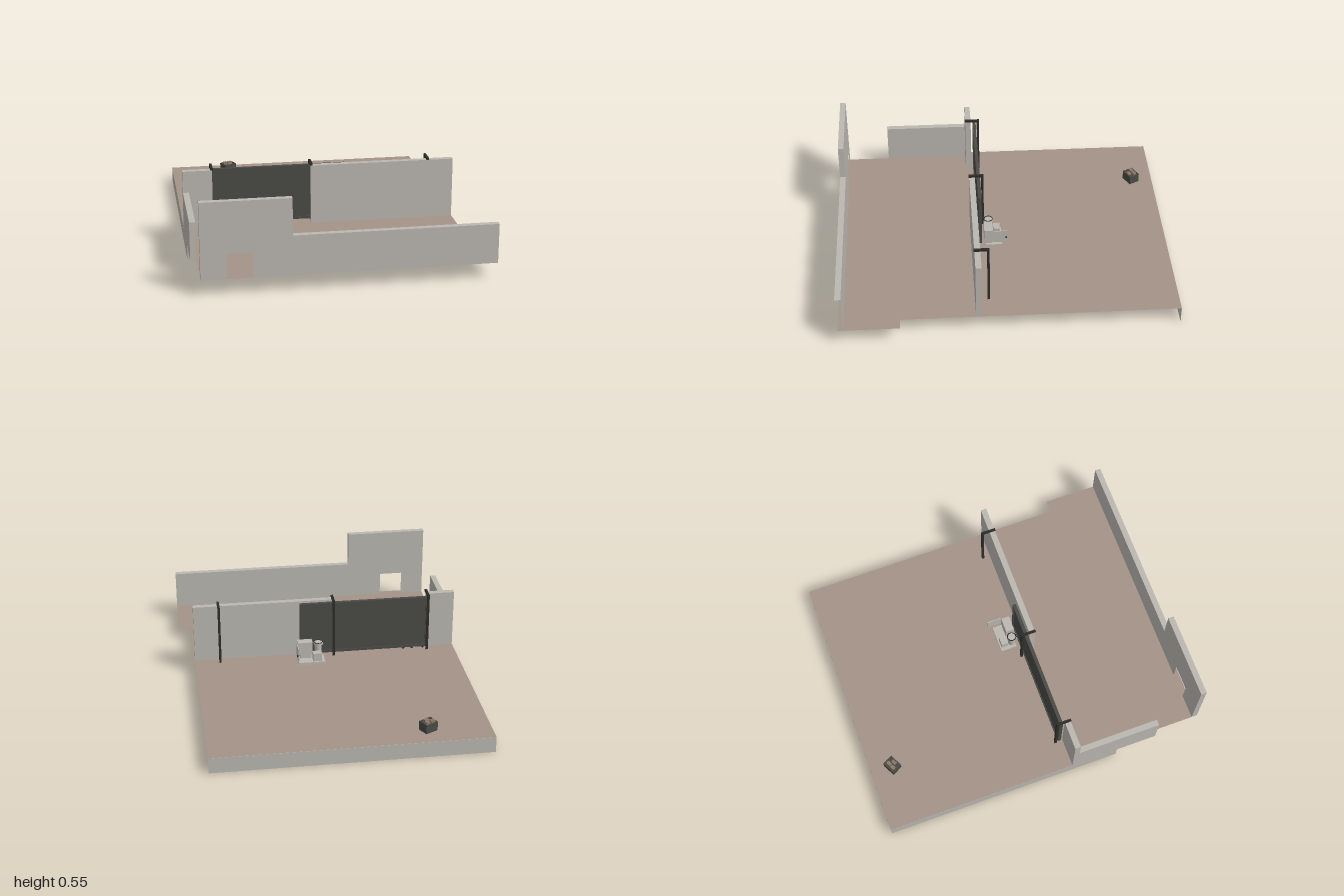
import * as THREE from 'three';

const mat = (name, color, side = THREE.FrontSide) => {
  const m = new THREE.MeshStandardMaterial({ color, side });
  m.name = name;
  return m;
};

export function createModel() {
  const concrete = mat('pale concrete', 0xbbb8b2);
  const ground = mat('brown ground', 0xa49388, THREE.DoubleSide);
  const steel = mat('dark gate steel', 0x4a4b46);
  const iron = mat('black iron', 0x2c2d29);
  const rust = mat('brown cargo', 0x8d7768);
  const root = new THREE.Group();
  const F = 0.097; // ground level

  const add = (name, geo, material, parent = root) => {
    const m = new THREE.Mesh(geo, material);
    m.name = name;
    parent.add(m);
    return m;
  };

  // Box given by its limits; skip lists faces to leave open (0 = +x, 1 = -x)
  const box = (name, material, [x0, x1], [y0, y1], [z0, z1], parent = root, skip = []) => {
    const g = new THREE.BoxGeometry(x1 - x0, y1 - y0, z1 - z0);
    g.translate((x0 + x1) / 2, (y0 + y1) / 2, (z0 + z1) / 2);
    if (skip.length) {
      g.setIndex([...g.index.array].filter((_, i) => !skip.includes(Math.floor(i / 6))));
      g.clearGroups();
    }
    return add(name, g, material, parent);
  };

  // Ground sheet with stepped outline (shape y becomes -z)
  const outline = [[-0.855, -1], [0.78, -1], [0.78, 0.64], [0.853, 0.64], [0.853, 0.998],
    [-0.82, 0.998], [-0.82, 0.455], [-0.855, 0.455]];
  const floor = new THREE.ShapeGeometry(new THREE.Shape(outline.map(([x, z]) => new THREE.Vector2(x, -z))));
  floor.rotateX(-Math.PI / 2).translate(0, F, 0);
  add('ground', floor, ground);

  // Thin retaining edges at the back and on one side
  box('backEdge', concrete, [-0.855, 0.78], [0, F - 0.001], [-1, -0.998]);
  box('sideEdge', concrete, [-0.855, -0.853], [0, F - 0.001], [-1, 0.455]);

  // Front wall with a raised section, a low hatch opening and an open end
  const front = new THREE.Group();
  front.name = 'frontWall';
  root.add(front);
  const zf = [0.965, 1];
  box('wallEnd', concrete, [-0.82, -0.675], [F, 0.33], zf, front, [0]);
  box('hatchLintel', concrete, [-0.675, -0.53], [0.245, 0.33], zf, front, [0, 1]);
  box('lowWall', concrete, [-0.53, 0.853], [F, 0.33], zf, front, [0, 1]);
  box('raisedWall', concrete, [-0.82, -0.31], [0.33, 0.547], zf, front);

  // Side wall and the two wall pieces beside the gateway
  box('sideWall', concrete, [-0.855, -0.82], [F, 0.33], [0.2, 0.708]);
  box('gateWallShort', concrete, [-0.855, -0.68], [F, 0.461], [0.165, 0.2]);
  box('gateWallLong', concrete, [-0.088, 0.78], [F, 0.461], [0.165, 0.2]);

  // Sliding gate: sheet, frame rails and rollers
  const gate = new THREE.Group();
  gate.name = 'slidingGate';
  root.add(gate);
  box('gateSheet', steel, [-0.68, 0.12], [0.115, 0.45], [0.139, 0.149], gate);
  for (const y of [0.11, 0.438]) box('gateRail', steel, [-0.685, 0.123], [y, y + 0.015], [0.133, 0.154], gate);
  for (const x of [-0.685, 0.109]) box('gateStile', steel, [x, x + 0.014], [0.11, 0.453], [0.133, 0.154], gate);
  for (const x of [-0.66, -0.59, -0.535, 0.09]) {
    const g = new THREE.CylinderGeometry(0.008, 0.008, 0.008, 12).rotateX(Math.PI / 2);
    add('gateRoller', g.translate(x, F + 0.008, 0.144), iron, gate);
  }

  // Guide posts with arms reaching over the gate to the wall
  for (const x of [-0.682, -0.086, 0.625]) {
    box('guidePost', iron, [x - 0.007, x + 0.007], [F, 0.475], [0.112, 0.126]);
    box('guideArm', iron, [x - 0.007, x + 0.007], [0.461, 0.475], [0.126, 0.203]);
  }

  // Gate motor with base plate, drive wheel and open cover door
  const motor = new THREE.Group();
  motor.name = 'gateMotor';
  root.add(motor);
  box('basePlate', concrete, [-0.02, 0.145], [F, 0.113], [0.01, 0.11], motor);
  box('motorFoot', concrete, [0.06, 0.13], [0.113, 0.142], [0.07, 0.11], motor);
  box('motorCase', concrete, [0.053, 0.145], [0.14, 0.22], [0.068, 0.12], motor);
  box('controlBox', concrete, [0.0, 0.055], [0.113, 0.165], [0.02, 0.06], motor);
  box('coverDoor', concrete, [0.148, 0.153], [0.137, 0.22], [-0.022, 0.068], motor);
  box('doorHandle', iron, [0.153, 0.16], [0.17, 0.182], [-0.016, -0.01], motor);
  add('driveColumn', new THREE.CylinderGeometry(0.022, 0.022, 0.087, 20).translate(0.015, 0.157, 0.09), concrete, motor);
  add('driveWheel', new THREE.CylinderGeometry(0.03, 0.03, 0.014, 20).translate(0.015, 0.205, 0.09), concrete, motor);
  add('wheelRim', new THREE.TorusGeometry(0.026, 0.003, 6, 20).rotateX(Math.PI / 2).translate(0.015, 0.212, 0.09), iron, motor);

  // Small open crate with cargo, turned on the ground
  const crate = new THREE.Group();
  crate.name = 'crate';
  crate.position.set(-0.488, F, -0.865);
  crate.rotation.y = 0.48;
  root.add(crate);
  box('crateBody', steel, [-0.041, 0.041], [0, 0.05], [-0.034, 0.034], crate);
  for (const s of [-1, 1]) {
    box('crateRim', steel, [-0.041, 0.041], [0.05, 0.057], [s * 0.031 - 0.003, s * 0.031 + 0.003], crate);
    box('crateRim', steel, [s * 0.038 - 0.003, s * 0.038 + 0.003], [0.05, 0.057], [-0.034, 0.034], crate);
  }
  for (const [x, z, h] of [[-0.018, -0.012, 0.066], [0.016, -0.01, 0.064], [0, 0.017, 0.06]])
    box('cargo', rust, [x - 0.014, x + 0.014], [0.05, h], [z - 0.01, z + 0.01], crate);

  return root;
}
